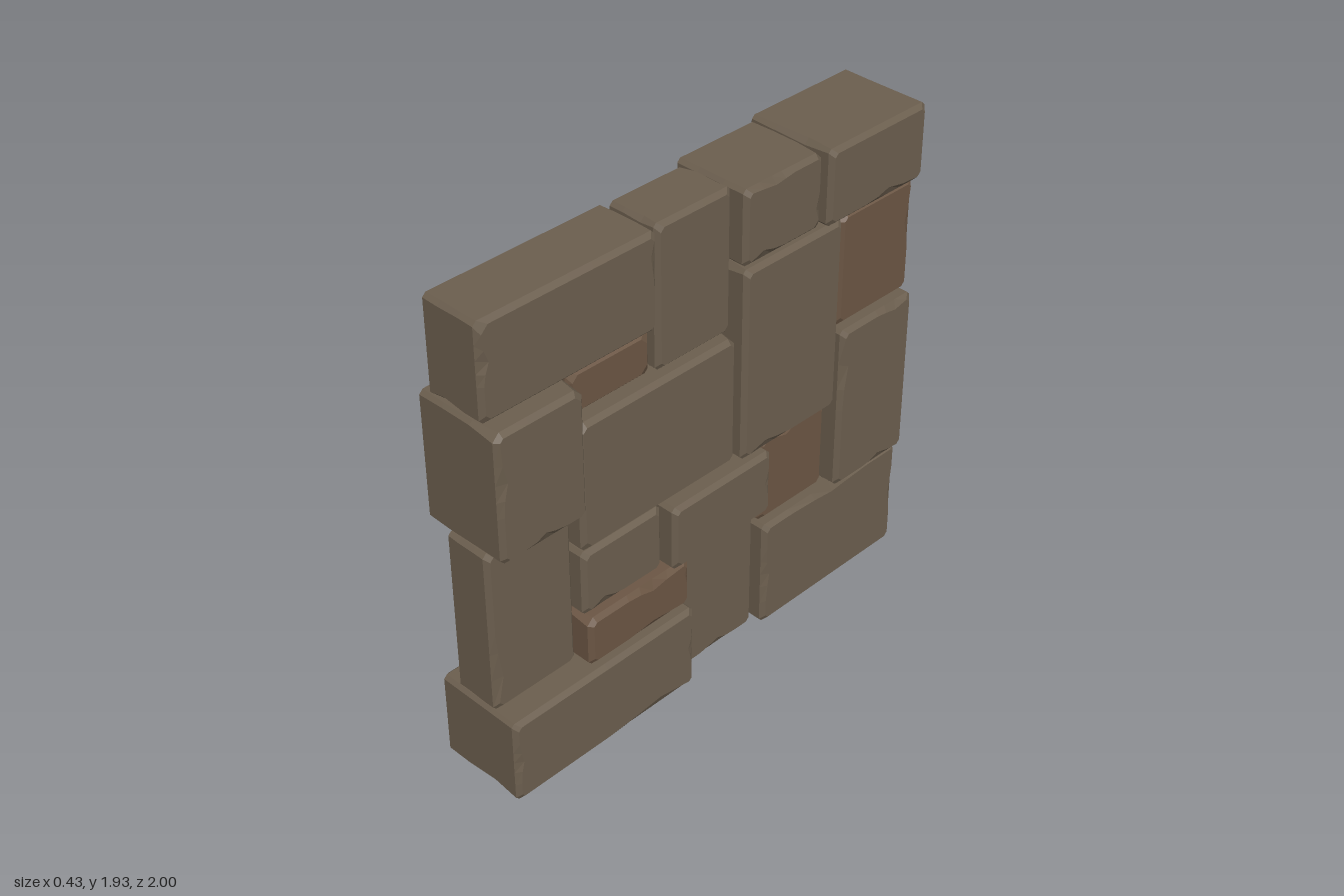
import * as THREE from 'three';

// small seeded random generator for the chips
function makeRandom(seed) {
  let s = seed;
  return () => (s = (s * 16807) % 2147483647) / 2147483647;
}

// Chamfered stone block, lofted along x from worn rectangular outlines.
// z0..z1 and y0..y1 are the face limits, h the half thickness.
function stoneGeometry(z0, z1, y0, y1, h, rand) {
  const bevel = 0.017, w = (z1 - z0) / 2, t = (y1 - y0) / 2;
  const cz = (z0 + z1) / 2, cy = (y0 + y1) / 2;
  const stops = [0.2, 0.36, 0.5, 0.64, 0.82];
  const corners = [[1, -1], [1, 1], [-1, 1], [-1, -1]];

  // one outline: cut corners, plus points along each side that may be chipped inward
  const ring = (x, inset, chips) => {
    const pts = [];
    const W = w - inset, T = t - inset;
    const cuts = corners.map(() => 0.012 + (rand() < 0.2 ? 0.02 * rand() : 0.004 * rand()));
    corners.forEach(([a, b], i) => {
      const [c, d] = corners[(i + 1) % 4];
      const du = (c - a) / 2, dv = (d - b) / 2;
      const len = 2 * (du ? W : T);
      const k0 = cuts[i], k1 = cuts[(i + 1) % 4];
      const worn = chips && rand() < 0.4;
      const spot = Math.floor(rand() * 5);
      const at = (dist, inward) => pts.push(new THREE.Vector3(
        x,
        cy + b * T + dv * dist + du * inward,
        cz - (a * W + du * dist - dv * inward)
      ));
      at(k0, 0);
      stops.forEach((s, j) => {
        const near = Math.abs(j - spot);
        const depth = worn ? (near === 0 ? 0.024 : near === 1 ? 0.008 : 0) * (0.5 + 0.5 * rand()) : 0;
        at(k0 + (len - k0 - k1) * s, depth);
      });
      at(len - k1, 0);
    });
    return pts;
  };

  const rings = [
    ring(-h, bevel, true), ring(-h + bevel, 0, false),
    ring(-h * 0.35, 0, false), ring(h * 0.35, 0, false),
    ring(h - bevel, 0, false), ring(h, bevel, true),
  ];
  const out = [];
  const tri = (...p) => p.forEach((v) => out.push(v.x, v.y, v.z));
  const n = rings[0].length, last = rings.length - 1;
  const back = new THREE.Vector3(-h, cy, cz), front = new THREE.Vector3(h, cy, cz);
  for (let i = 0; i < n; i++) {
    const j = (i + 1) % n;
    for (let r = 0; r < last; r++) {
      const a = rings[r][i], b = rings[r][j], c = rings[r + 1][j], d = rings[r + 1][i];
      tri(a, b, d);
      tri(b, c, d);
    }
    tri(front, rings[last][i], rings[last][j]);
    tri(back, rings[0][j], rings[0][i]);
  }
  const geo = new THREE.BufferGeometry();
  geo.setAttribute('position', new THREE.Float32BufferAttribute(out, 3));
  geo.computeVertexNormals();
  return geo;
}

export function createModel() {
  const group = new THREE.Group();
  group.name = 'stoneWall';
  const stone = new THREE.MeshStandardMaterial({ color: 0x6b5e4e, flatShading: true });
  const brown = new THREE.MeshStandardMaterial({ color: 0x6b5644, flatShading: true });

  // name, z max, z min, y min, y max, half thickness, brown?
  const stones = [
    ['topFrontStone', 0.997, 0.25, 1.56, 1.93, 0.13],
    ['topTallStone', 0.24, -0.105, 1.38, 1.935, 0.115],
    ['topSmallStone', -0.115, -0.49, 1.64, 1.93, 0.165],
    ['topBackStone', -0.5, -0.995, 1.64, 1.935, 0.19],
    ['frontUpperStone', 0.997, 0.63, 1.045, 1.55, 0.187],
    ['brownUpperStone', 0.62, 0.258, 1.38, 1.55, 0.1, true],
    ['middleLargeStone', 0.62, -0.105, 0.855, 1.37, 0.145],
    ['middleTallStone', -0.115, -0.6, 0.855, 1.63, 0.172],
    ['brownBackStone', -0.61, -0.992, 1.175, 1.63, 0.155, true],
    ['backTallStone', -0.61, -0.992, 0.478, 1.165, 0.185],
    ['frontLowerStone', 0.997, 0.63, 0.365, 1.035, 0.1],
    ['middleSmallStone', 0.62, 0.25, 0.577, 0.845, 0.14],
    ['middleProudStone', 0.24, -0.248, 0.577, 0.845, 0.19],
    ['brownMiddleStone', -0.257, -0.6, 0.478, 0.845, 0.125, true],
    ['brownLowerStone', 0.62, 0.14, 0.365, 0.567, 0.165, true],
    ['bottomMiddleStone', 0.13, -0.247, 0, 0.567, 0.11],
    ['bottomFrontStone', 0.997, 0.14, 0.003, 0.355, 0.19],
    ['bottomBackStone', -0.257, -0.995, 0.008, 0.468, 0.155],
  ];

  stones.forEach(([name, zMax, zMin, yMin, yMax, h, isBrown], i) => {
    const geo = stoneGeometry(zMin, zMax, yMin, yMax, h, makeRandom(7919 * (i + 3)));
    const mesh = new THREE.Mesh(geo, isBrown ? brown : stone);
    mesh.name = name;
    group.add(mesh);
  });

  // the wall is turned very slightly about the vertical
  group.rotation.y = -0.025;
  return group;
}
